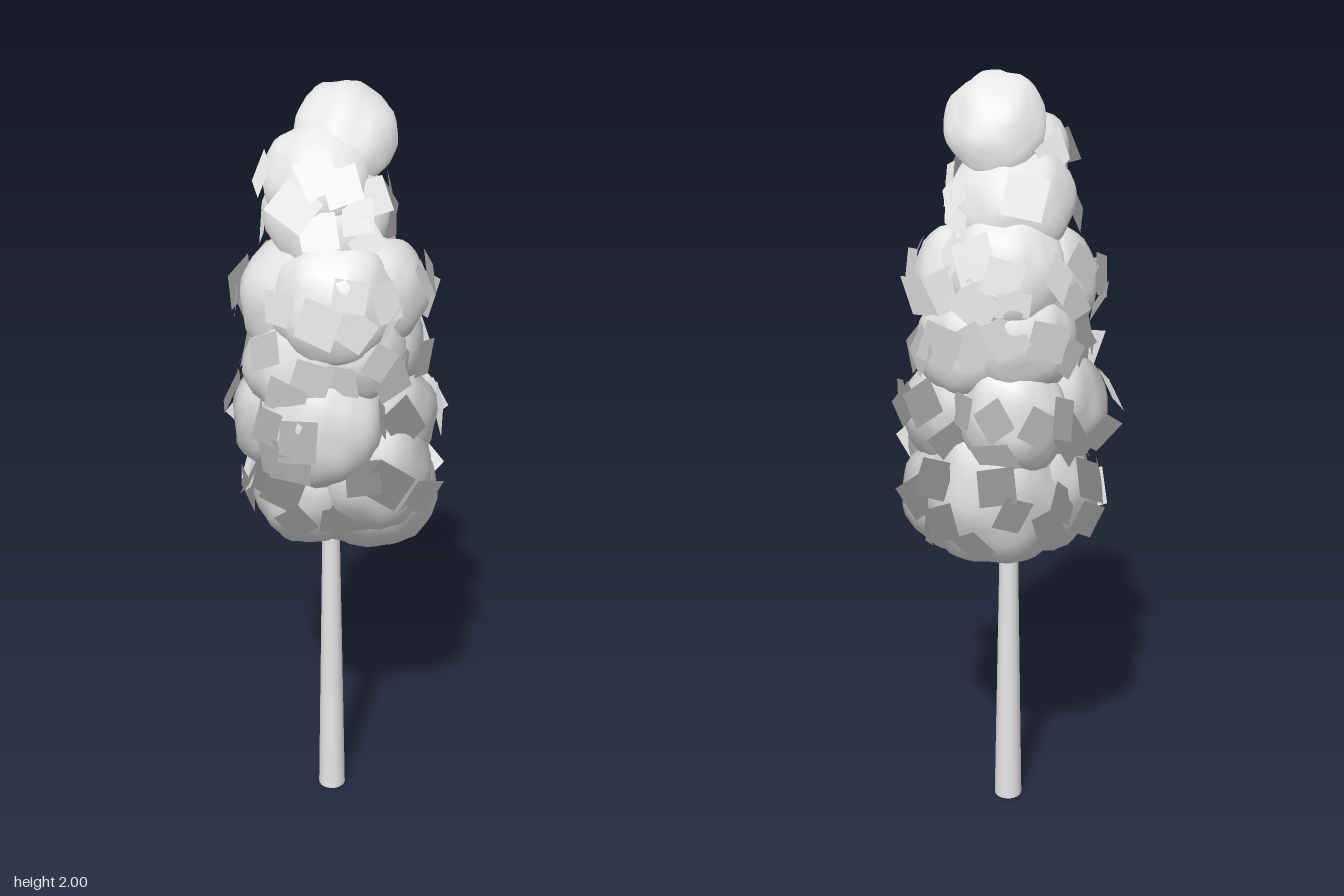
import * as THREE from 'three';
import { mergeVertices, mergeGeometries } from 'three/addons/utils/BufferGeometryUtils.js';

// Small seeded generator
let seed = 7;
const rand = () => (seed = (seed * 16807) % 2147483647) / 2147483647;

// Leaf clumps: x, y, z, radius
const CLUMPS = [
  [0.03, 1.875, -0.01, 0.122],
  [-0.075, 1.79, 0.015, 0.122],
  [-0.02, 1.69, -0.015, 0.15],
  [-0.07, 1.5, 0.08, 0.15],
  [0.07, 1.5, 0.06, 0.135],
  [0.04, 1.52, -0.06, 0.15],
  [-0.08, 1.48, -0.05, 0.15],
  [0.09, 1.34, 0.01, 0.14],
  [0.03, 1.36, -0.09, 0.14],
  [-0.1, 1.33, 0.0, 0.15],
  [-0.01, 1.37, 0.08, 0.13],
  [0.07, 1.17, -0.12, 0.14],
  [-0.09, 1.16, -0.09, 0.15],
  [-0.1, 1.18, 0.07, 0.155],
  [0.09, 1.16, 0.05, 0.15],
  [0.02, 1.05, 0.1, 0.165],
  [-0.1, 1.0, 0.02, 0.145],
  [-0.02, 0.95, -0.11, 0.155],
  [0.075, 0.96, -0.06, 0.195],
  [0.09, 0.945, 0.03, 0.17],
];
const CROWN = new THREE.Vector3(0, 1.45, 0);
const FLOOR = 0.805;

// Direction away from the middle of the crown, squashed to the crown's height
function crownNormal(p) {
  return new THREE.Vector3((p.x - CROWN.x) / 0.28, (p.y - CROWN.y) / 0.6, (p.z - CROWN.z) / 0.28).normalize();
}

// Lumpy sphere with a softened underside
function clump([x, y, z, r], i) {
  let g = new THREE.IcosahedronGeometry(1, 7);
  g.deleteAttribute('normal');
  g.deleteAttribute('uv');
  g = mergeVertices(g, 1e-4);
  const pos = g.attributes.position;
  const v = new THREE.Vector3();
  for (let k = 0; k < pos.count; k++) {
    v.fromBufferAttribute(pos, k);
    const broad = 0.03 * Math.sin(5 * v.x + i) * Math.sin(6 * v.y + 2 * i) + 0.025 * Math.sin(7 * v.z + 4 * v.x + i);
    const fine = 0.018 * Math.sin(13 * v.x + 5 * v.y + i) * Math.sin(12 * v.z - 7 * v.y + 3 * i);
    v.multiplyScalar(r * (1 + broad + fine));
    v.set(v.x + x, v.y + y, v.z + z);
    if (v.y < FLOOR + 0.03) v.y = FLOOR + 0.03 * Math.exp((v.y - FLOOR - 0.03) / 0.03);
    pos.setXYZ(k, v.x, v.y, v.z);
  }
  g.computeVertexNormals();
  // Blend the shading with that of the whole crown
  const nor = g.attributes.normal;
  const n = new THREE.Vector3();
  for (let k = 0; k < pos.count; k++) {
    n.fromBufferAttribute(nor, k).add(crownNormal(v.fromBufferAttribute(pos, k)).multiplyScalar(0.6)).normalize();
    nor.setXYZ(k, n.x, n.y, n.z);
  }
  return g;
}

// Square leaf cards scattered evenly over the outside of the clumps
function leafCards(count) {
  const cards = [];
  const centres = [];
  const dummy = new THREE.Object3D();
  const dir = new THREE.Vector3();
  for (let tries = 0; cards.length < count && tries < 6000; tries++) {
    const [x, y, z, r] = CLUMPS[1 + Math.floor(rand() * (CLUMPS.length - 1))];
    const a = rand() * Math.PI * 2;
    dir.set(Math.cos(a), rand() * 0.9 - 0.4, Math.sin(a)).normalize();
    const p = dir.clone().multiplyScalar(r * 1.06).add(new THREE.Vector3(x, y, z));
    const buried = CLUMPS.some((c) => p.distanceTo(new THREE.Vector3(c[0], c[1], c[2])) < c[3] * 1.03);
    const crowded = centres.some((c) => c.distanceTo(p) < 0.06);
    if (buried || crowded || p.y < 0.89 || p.y > 1.86) continue;
    centres.push(p);
    dummy.position.copy(p);
    dummy.lookAt(p.clone().add(dir));
    dummy.rotateX((rand() - 0.5) * 0.6);
    dummy.rotateY((rand() - 0.5) * 0.6);
    dummy.rotateZ(rand() * Math.PI);
    dummy.updateMatrix();
    const size = 0.08 + rand() * 0.025;
    const g = new THREE.PlaneGeometry(size, size).applyMatrix4(dummy.matrix);
    const n = crownNormal(p);
    for (let k = 0; k < 4; k++) g.attributes.normal.setXYZ(k, n.x, n.y, n.z);
    cards.push(g);
  }
  return mergeGeometries(cards);
}

export function createModel() {
  seed = 7;
  const group = new THREE.Group();
  const grey = new THREE.MeshStandardMaterial({ color: 0xe7e7e7, side: THREE.DoubleSide });
  grey.name = 'light grey';
  const add = (name, geometry) => {
    const mesh = new THREE.Mesh(geometry, grey);
    mesh.name = name;
    group.add(mesh);
    return mesh;
  };

  // Tapered trunk running up into the crown
  add('trunk', new THREE.CylinderGeometry(0.019, 0.038, 1.1, 16)).position.set(-0.016, 0.55, -0.01);

  // Crown
  add('foliage', mergeGeometries(CLUMPS.map(clump)));
  add('leafCards', leafCards(95));
  return group;
}
